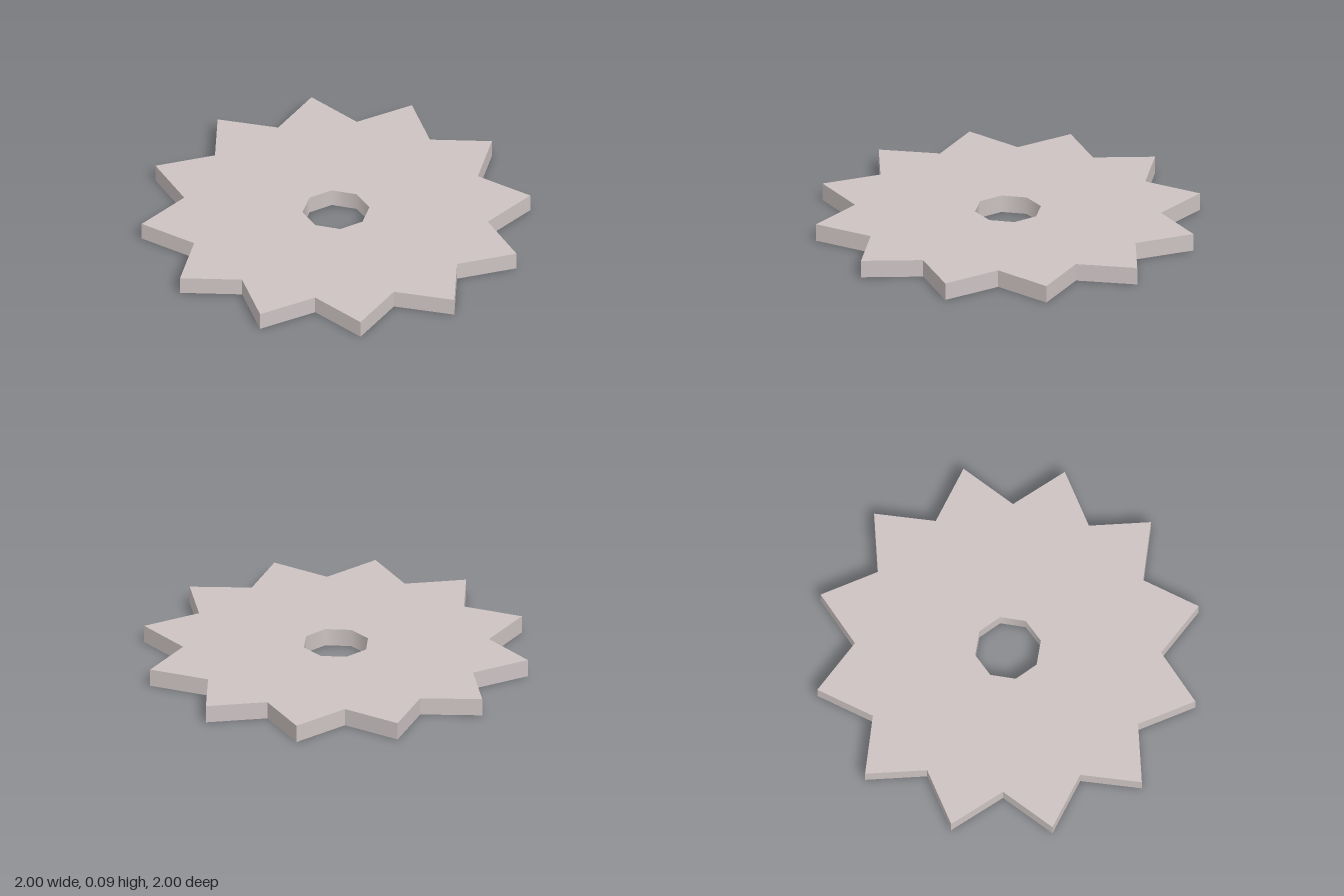
import * as THREE from 'three';

const POINTS = 12;
const THICKNESS = 0.095;
const TIP_RADIUS = 1 / Math.cos(Math.PI / POINTS);
const VALLEY_RADIUS = 0.81;
const HOLE_RADIUS = 0.178;

// Corner on a circle, as a 2D point
const polar = (radius, angle) =>
  new THREE.Vector2(radius * Math.cos(angle), radius * Math.sin(angle));

export function createModel() {
  const group = new THREE.Group();
  group.name = 'starDisc';

  // Twelve-pointed outline: valleys on the axes, tips between them
  const outline = [];
  for (let i = 0; i < POINTS * 2; i++) {
    outline.push(polar(i % 2 ? TIP_RADIUS : VALLEY_RADIUS, (i * Math.PI) / POINTS));
  }
  const shape = new THREE.Shape(outline);

  // Eight-sided centre hole, turned 15 degrees
  const hole = [];
  for (let i = 0; i < 8; i++) hole.push(polar(HOLE_RADIUS, Math.PI / 12 + (i * Math.PI) / 4));
  shape.holes.push(new THREE.Path(hole));

  // Flat plate lying on the ground
  const geometry = new THREE.ExtrudeGeometry(shape, { depth: THICKNESS, bevelEnabled: false });
  geometry.rotateX(Math.PI / 2).translate(0, THICKNESS, 0);

  // Smooth shading around the hole wall
  const { position, normal } = geometry.attributes;
  for (let i = 0; i < position.count; i++) {
    const x = position.getX(i);
    const z = position.getZ(i);
    const r = Math.hypot(x, z);
    if (r < 0.3 && Math.abs(normal.getY(i)) < 0.5) normal.setXYZ(i, -x / r, 0, -z / r);
  }

  const disc = new THREE.Mesh(geometry, new THREE.MeshStandardMaterial({ color: 0xccc3c2 }));
  disc.name = 'starPlate';
  group.add(disc);
  return group;
}
